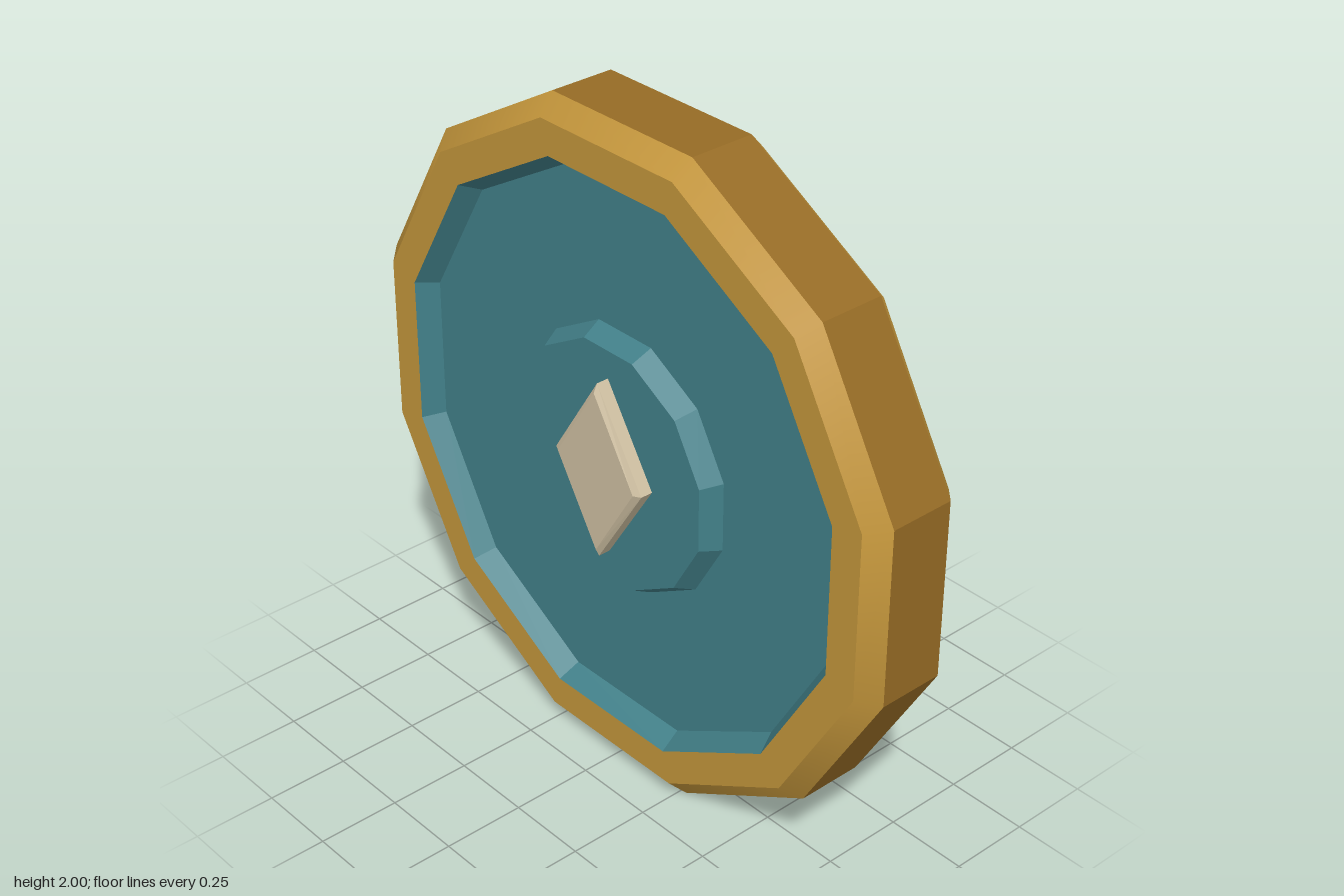
import * as THREE from 'three';

const SIDES = 12;

export function createModel() {
  const material = (name, color) => {
    const m = new THREE.MeshStandardMaterial({ color });
    m.name = name;
    return m;
  };
  const gold = material('gold', 0xc4963b);
  const bronze = material('bronze', 0x966b25);
  const teal = material('teal', 0x428089);
  const cream = material('cream', 0xcfc0a2);

  const medallion = new THREE.Group();
  medallion.name = 'medallion';

  const add = (name, geometry, mat) => {
    const mesh = new THREE.Mesh(geometry, mat);
    mesh.name = name;
    medallion.add(mesh);
  };

  // Twelve-sided turned band; profile points are [distance to flat side, z], back to front
  const band = (name, profile, mat, smooth = false) => {
    const points = profile.map(([a, z]) => new THREE.Vector2(a / Math.cos(Math.PI / SIDES), z));
    let geometry = new THREE.LatheGeometry(points, SIDES, Math.PI / SIDES);
    geometry.rotateX(Math.PI / 2);
    if (!smooth) {
      geometry = geometry.toNonIndexed();
      geometry.computeVertexNormals();
    }
    geometry.translate(0, 1, 0);
    add(name, geometry, mat);
  };

  // Outer edge
  band('rimEdge', [[1, -0.1], [1, 0.1]], bronze);

  // Both faces: the front profile is the back one mirrored and reversed
  for (const [side, s] of [['front', 1], ['back', -1]]) {
    const ordered = (p) => {
      const q = p.map(([a, z]) => [a, z * s]);
      return s > 0 ? q : q.reverse();
    };
    band(side + 'RimChamfer', ordered([[1, 0.1], [0.945, 0.154]]), gold, true);
    band(side + 'RimFace', ordered([[0.945, 0.154], [0.845, 0.154]]), gold);
    // Sloped inner wall, recessed floor and raised hub
    band(side + 'Dish', ordered([
      [0.845, 0.154], [0.81, 0.09], [0.39, 0.09], [0.36, 0.15], [0, 0.15],
    ]), teal);
  }

  // Bevelled diamond through the hub
  const diamond = new THREE.Shape([
    new THREE.Vector2(0.155, 0), new THREE.Vector2(0, 0.25),
    new THREE.Vector2(-0.155, 0), new THREE.Vector2(0, -0.25),
  ]);
  const gem = new THREE.ExtrudeGeometry(diamond, {
    depth: 0.376, bevelEnabled: true, bevelThickness: 0.012, bevelSize: 0.018, bevelSegments: 1,
  });
  gem.translate(0, 1, -0.188);
  add('diamond', gem, cream);

  return medallion;
}
